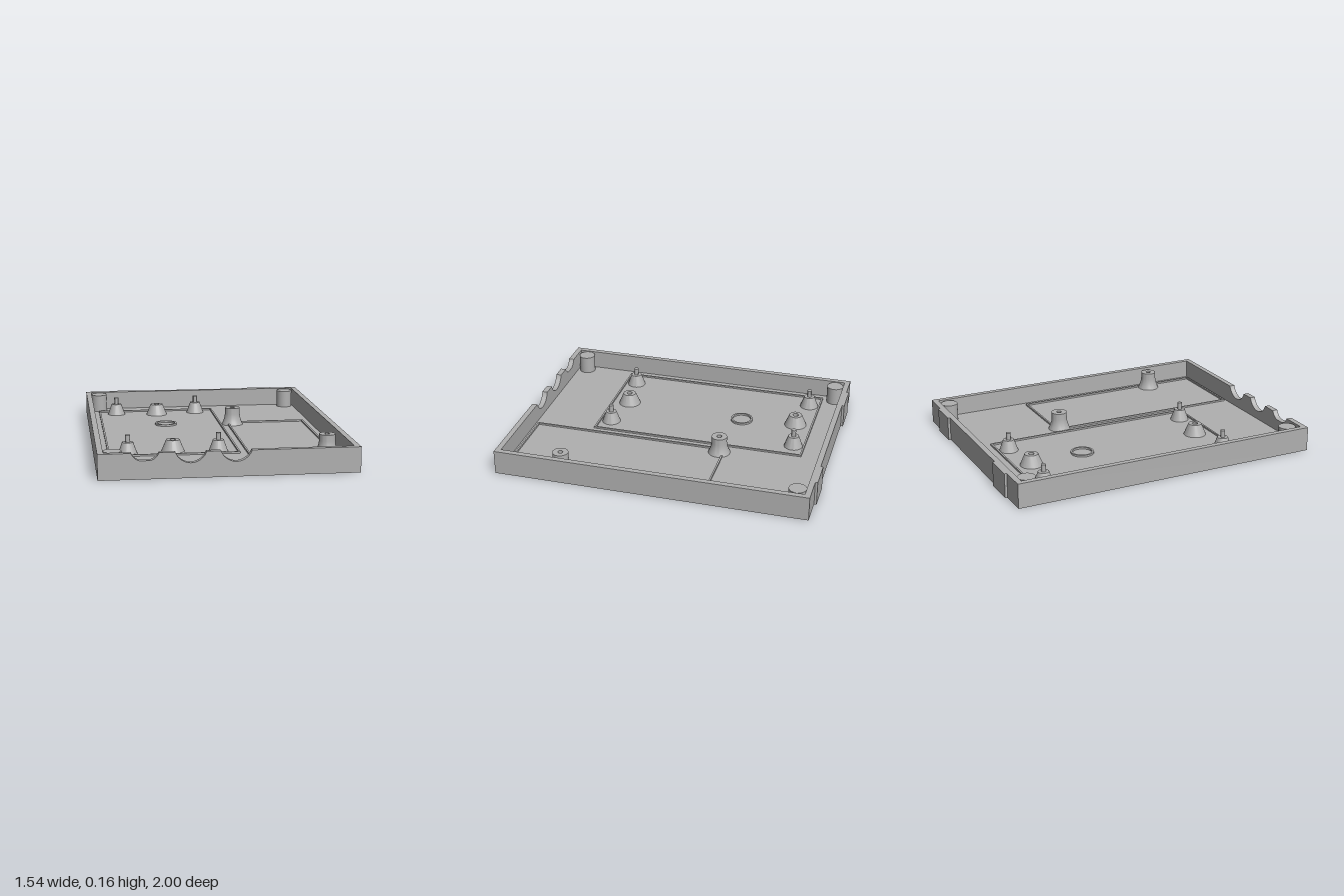
import * as THREE from 'three';
import { toCreasedNormals } from 'three/addons/utils/BufferGeometryUtils.js';

const TOP = 0.155, FLOOR = 0.035;

export function createModel() {
  const model = new THREE.Group();
  model.name = 'enclosureHalf';
  const plastic = new THREE.MeshStandardMaterial({ color: 0xb0b0b0 });
  plastic.name = 'grey plastic';

  const add = (name, geometry, x = 0, y = 0, z = 0) => {
    const mesh = new THREE.Mesh(geometry, plastic);
    mesh.name = name;
    mesh.position.set(x, y, z);
    model.add(mesh);
    return mesh;
  };
  // box given by its limits
  const box = (name, x0, x1, y0, y1, z0, z1) =>
    add(name, new THREE.BoxGeometry(x1 - x0, y1 - y0, z1 - z0), (x0 + x1) / 2, (y0 + y1) / 2, (z0 + z1) / 2);
  const lathe = (profile) => toCreasedNormals(
    new THREE.LatheGeometry(profile.map(([r, y]) => new THREE.Vector2(r, y)), 40), 0.5);

  // floor plate
  box('floor', -0.735, 0.735, 0, FLOOR, -0.95, 0.965);

  // side and back walls as one U-shaped plan (shape y becomes -z)
  const plan = new THREE.Shape([
    [-0.77, -0.965], [-0.735, -0.965], [-0.735, 0.95], [0.735, 0.95],
    [0.735, -0.965], [0.77, -0.965], [0.77, 0.985], [-0.77, 0.985],
  ].map(([x, y]) => new THREE.Vector2(x, y)));
  const walls = new THREE.ExtrudeGeometry(plan, { depth: TOP, bevelEnabled: false });
  walls.rotateX(-Math.PI / 2);
  add('sideAndBackWalls', walls);

  // front wall with three cable notches in its rim
  const front = new THREE.Shape();
  front.moveTo(-0.77, 0);
  front.lineTo(0.77, 0);
  front.lineTo(0.77, TOP);
  const r = 0.095, cy = 0.185;
  const a = Math.asin((cy - TOP) / r);
  for (const cx of [0.033, -0.232]) {
    front.lineTo(cx + r * Math.cos(a), TOP);
    front.absarc(cx, cy, r, -a, -Math.PI + a, true);
  }
  front.lineTo(-0.415, TOP);
  front.quadraticCurveTo(-0.44, 0.11, -0.475, 0.11);
  front.lineTo(-0.52, 0.11);
  front.quadraticCurveTo(-0.555, 0.11, -0.578, TOP);
  front.lineTo(-0.77, TOP);
  front.closePath();
  const frontGeometry = new THREE.ExtrudeGeometry(front, { depth: 0.035, bevelEnabled: false, curveSegments: 24 });
  add('frontWall', toCreasedNormals(frontGeometry, 0.5), 0, 0, 0.965);

  // shallow tabs on the outside of the back wall
  box('backTabRight', -0.6, -0.405, 0, TOP, -1, -0.985);
  box('backTabLeft', 0.4, 0.59, 0, TOP, -1, -0.985);

  // corner posts
  for (const [x, z] of [[-0.68, -0.895], [0.672, -0.895], [-0.68, 0.9]]) {
    add('cornerPost', new THREE.CylinderGeometry(0.054, 0.054, 0.115, 32), x, FLOOR + 0.0575, z);
  }

  // cone mounts with a locating pin
  const pinMount = lathe([[0.06, FLOOR], [0.034, 0.108], [0.015, 0.108], [0.015, 0.153], [0, 0.153]]);
  for (const x of [-0.565, -0.005]) {
    for (const z of [-0.74, 0.493]) add('pinMount', pinMount, x, 0, z);
  }

  // cone mounts with a screw hole
  const screwMount = lathe([[0.072, FLOOR], [0.042, 0.108], [0.018, 0.108], [0.018, 0.06], [0, 0.06]]);
  for (const z of [-0.7, 0.453]) add('screwMount', screwMount, -0.283, 0, z);

  // tall flared mounts
  const tallMount = lathe([[0.071, FLOOR], [0.061, 0.058], [0.053, 0.085], [0.05, 0.11], [0.05, 0.15],
    [0.016, 0.15], [0.016, 0.07], [0, 0.07]]);
  add('tallMount', tallMount, 0.2, 0, -0.3);
  add('tallMount', tallMount, 0.655, 0, 0.603);

  // thin ridges outlining the two component areas
  const ridgeFrame = (name, x0, x1, z0, z1) => {
    const w = 0.011, top = FLOOR + 0.011;
    for (const x of [x0, x1 - w]) box(name, x, x + w, FLOOR, top, z0, z1);
    for (const z of [z0, z1 - w]) box(name, x0 + w, x1 - w, FLOOR, top, z, z + w);
  };
  ridgeFrame('boardRidge', -0.686, 0.122, -0.816, 0.572);
  ridgeFrame('batteryRidge', 0.164, 0.695, -0.335, 0.949);

  // small ring on the floor
  add('floorRing', lathe([[0.073, FLOOR], [0.073, 0.047], [0.061, 0.047], [0.061, FLOOR]]), -0.251, 0, -0.342);

  return model;
}
